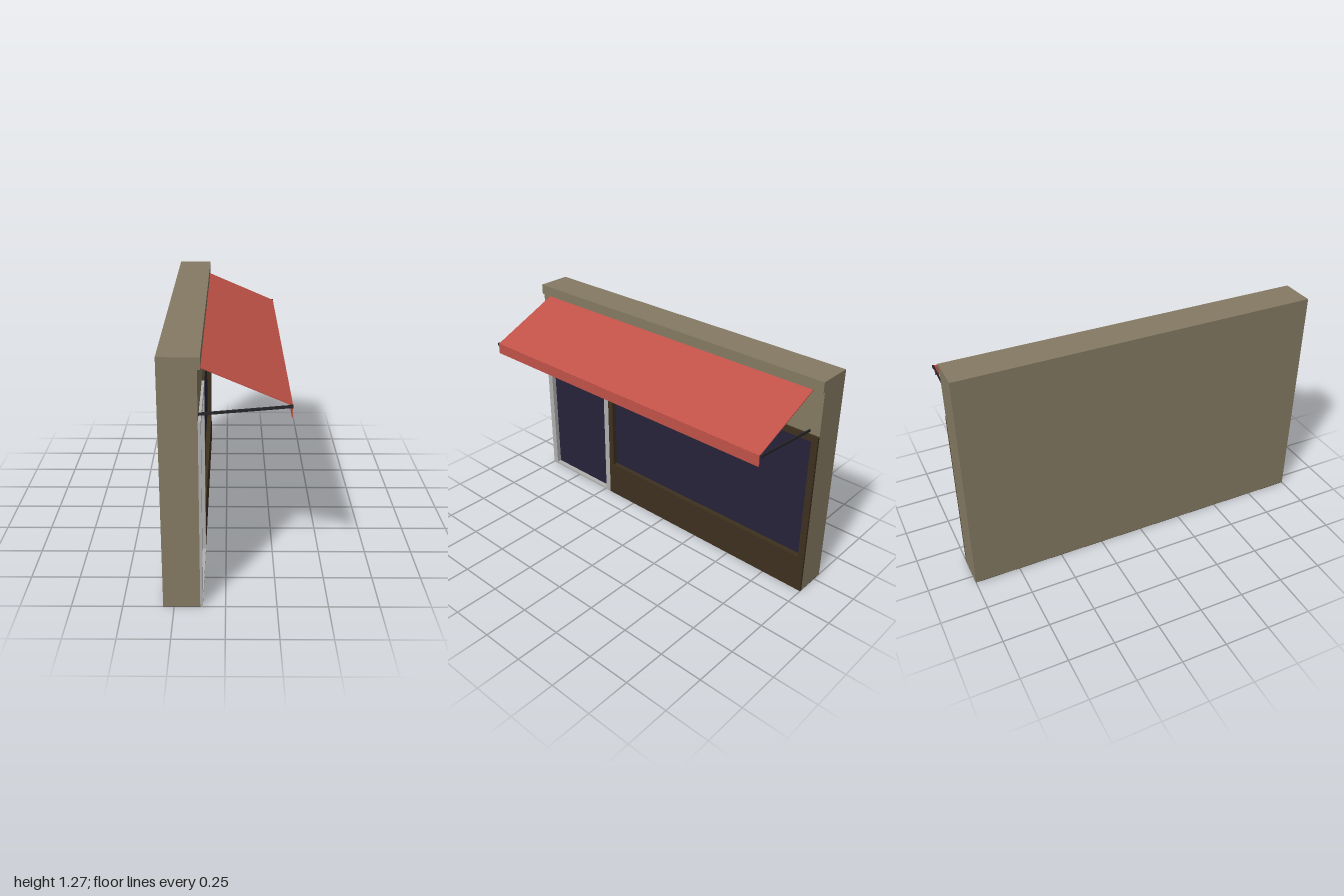
import * as THREE from 'three';

const mat = color => new THREE.MeshStandardMaterial({ color });
const tan = mat(0x857a63), brown = mat(0x3d301e), grey = mat(0xb0b0b0);
const glass = mat(0x26233a), red = mat(0xc05248), dark = mat(0x26262a);

// Back, core front, wall face, trim face and glass depths along x
const BACK = -0.303, CORE = -0.143, FACE = -0.123, TRIM = -0.11, PANE = -0.138;

// Openings as [zMin, yMin, zMax, yMax]
const DOOR = [0.492, 0.012, 0.964, 0.936];
const WINDOW = [-0.963, 0.219, 0.42, 0.936];

const grow = ([a, b, c, d], m) => [a - m, b - m, c + m, d + m];

// Upright plate facing +x, with rectangular holes
function plate(name, rect, holes, x0, x1, material) {
  const corners = ([a, b, c, d]) => [[-c, b], [-a, b], [-a, d], [-c, d]].map(p => new THREE.Vector2(...p));
  const shape = new THREE.Shape(corners(rect));
  shape.holes = holes.map(h => new THREE.Path(corners(h).reverse()));
  const g = new THREE.ExtrudeGeometry(shape, { depth: x1 - x0, bevelEnabled: false });
  g.rotateY(Math.PI / 2).translate(x0, 0, 0);
  const m = new THREE.Mesh(g, material);
  m.name = name;
  return m;
}

function box(name, x0, x1, y0, y1, z0, z1, material) {
  const m = new THREE.Mesh(new THREE.BoxGeometry(x1 - x0, y1 - y0, z1 - z0), material);
  m.position.set((x0 + x1) / 2, (y0 + y1) / 2, (z0 + z1) / 2);
  m.name = name;
  return m;
}

// Slanted bar in the xy plane between two points
function bar(name, [x0, y0], [x1, y1], thick, width, z, material) {
  const m = new THREE.Mesh(new THREE.BoxGeometry(Math.hypot(x1 - x0, y1 - y0), thick, width), material);
  m.position.set((x0 + x1) / 2, (y0 + y1) / 2, z);
  m.rotation.z = Math.atan2(y1 - y0, x1 - x0);
  m.name = name;
  return m;
}

// Trim face, recessed reveal and pane of one opening
function opening(name, outer, hole, material) {
  const g = new THREE.Group();
  g.name = name;
  g.add(plate(name + 'Trim', outer, [hole], FACE, TRIM, material));
  g.add(plate(name + 'Reveal', grow(hole, 0.005), [hole], CORE, FACE, material));
  g.add(plate(name + 'Glass', grow(hole, 0.003), [], CORE, PANE, glass));
  return g;
}

export function createModel() {
  const model = new THREE.Group();
  model.name = 'shopfront';

  // Solid wall core, pierced front layer, cornice and dark underside
  model.add(box('wall', BACK, CORE, 0.002, 1.273, -1, 1, tan));
  model.add(plate('wallFront', [-1, 0.002, 1, 1.273], [grow(DOOR, 0.005), grow(WINDOW, 0.005)], CORE, FACE, tan));
  model.add(box('base', BACK, FACE, 0, 0.002, -1, 1, brown));
  model.add(box('cornice', FACE, TRIM, 1.215, 1.273, -1, 1, tan));

  // Door and display window
  model.add(opening('door', [0.455, 0, 1, 0.97], DOOR, grey));
  model.add(opening('window', [-1, 0, 0.455, 0.97], WINDOW, brown));

  // Awning with valance
  const awning = new THREE.Group();
  awning.name = 'awning';
  awning.add(bar('canopy', [FACE, 1.211], [0.299, 1.029], 0.005, 1.88, 0, red));
  awning.add(box('valance', 0.297, 0.301, 0.971, 1.029, -0.94, 0.94, red));

  // Support arms with end fittings on both sides
  for (const s of [1, -1]) {
    awning.add(bar('arm', [FACE, 0.987], [0.3, 1.025], 0.013, 0.007, s * 0.943, dark));
    awning.add(box('armEnd', 0.285, 0.301, 1.019, 1.033, s * 0.945 - 0.005, s * 0.945 + 0.005, dark));
  }
  model.add(awning);
  return model;
}
